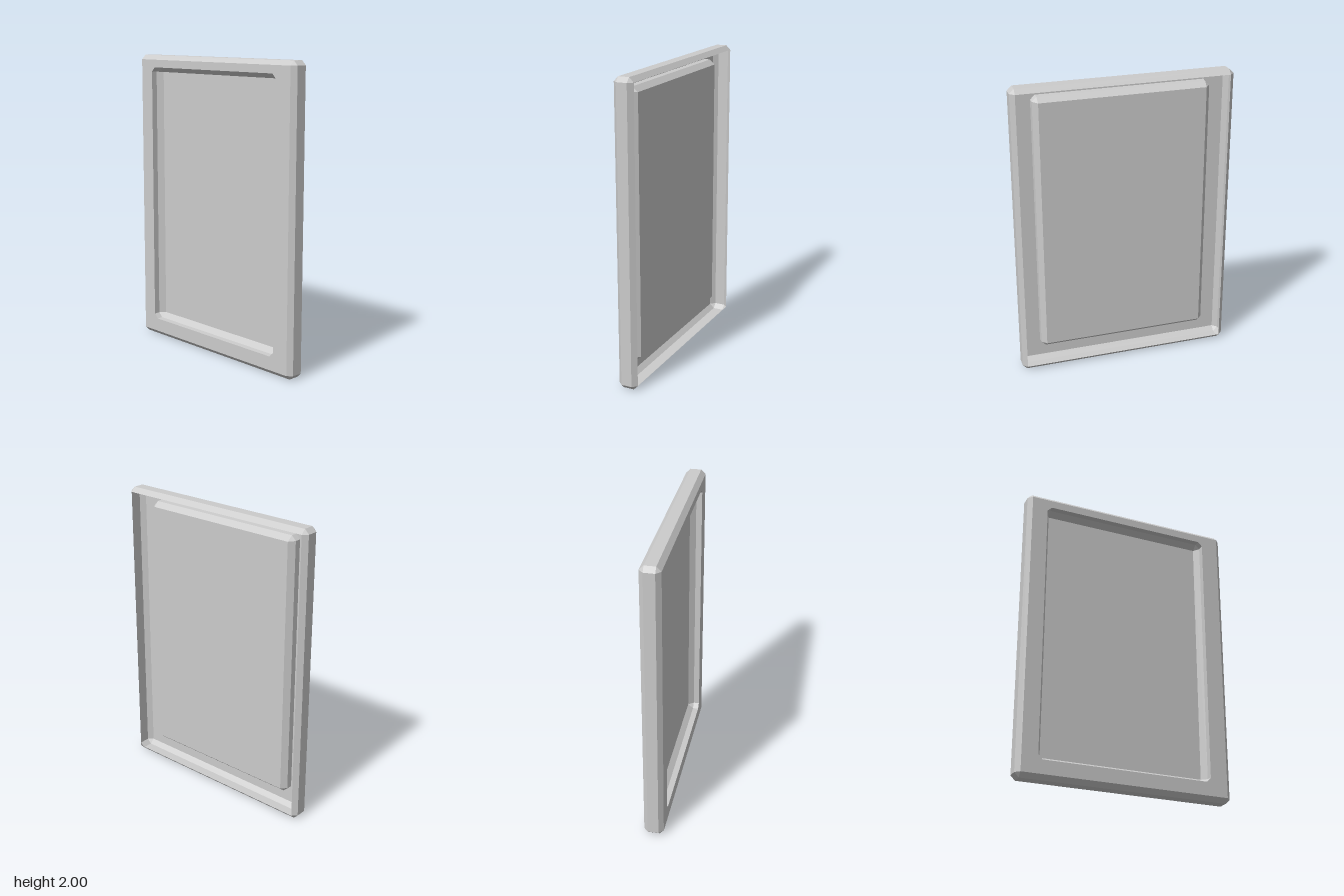
import * as THREE from 'three';

// Rectangle with cut corners: eight points, anticlockwise from the front
function ring(x0, x1, y0, y1, z, cut) {
  return [
    [x0 + cut, y0], [x1 - cut, y0], [x1, y0 + cut], [x1, y1 - cut],
    [x1 - cut, y1], [x0 + cut, y1], [x0, y1 - cut], [x0, y0 + cut],
  ].map(([x, y]) => new THREE.Vector3(x, y, z));
}

// Skin a list of rings, optionally closing the last one with a flat cap
function skin(name, rings, cap = false) {
  const points = [];
  const triangle = (a, b, c) => {
    if (!a.equals(b) && !b.equals(c) && !c.equals(a)) points.push(a, b, c);
  };
  for (let i = 0; i < rings.length - 1; i++) {
    const lower = rings[i], upper = rings[i + 1];
    for (let j = 0; j < 8; j++) {
      const k = (j + 1) % 8;
      triangle(lower[j], lower[k], upper[k]);
      triangle(lower[j], upper[k], upper[j]);
    }
  }
  if (cap) {
    const last = rings[rings.length - 1];
    for (let j = 1; j < 7; j++) triangle(last[0], last[j], last[j + 1]);
  }
  const geometry = new THREE.BufferGeometry().setFromPoints(points);
  geometry.computeVertexNormals();
  const mesh = new THREE.Mesh(geometry, new THREE.MeshStandardMaterial({
    color: 0xcccccc, flatShading: true, side: THREE.DoubleSide,
  }));
  mesh.name = name;
  return mesh;
}

export function createModel() {
  const group = new THREE.Group();
  group.name = 'framedPanel';

  const W = 0.733, H = 2, D = 0.066, bevel = 0.03;
  const outer = (z, inset, cut) => ring(-W + inset, W - inset, inset, H - inset, z, cut);
  const inner = (z, inset, cut) =>
    ring(-0.596 + inset, 0.584 - inset, 0.122 + inset, 1.918 - inset, z, cut);

  // Thin bevelled shell, open at the back, with an opening in its front face
  group.add(skin('frame', [
    outer(-D, bevel, 0),
    outer(-D + bevel, 0, bevel),
    outer(D - bevel, 0, bevel),
    outer(D, bevel, 0),
    inner(D, 0, bevel),
  ]));

  // Sunken tray: short wall, bevel and flat floor
  group.add(skin('recessedPanel', [
    inner(D, 0, bevel),
    inner(0.027, 0.002, bevel),
    inner(-0.01, 0.034, 0),
  ], true));

  return group;
}
